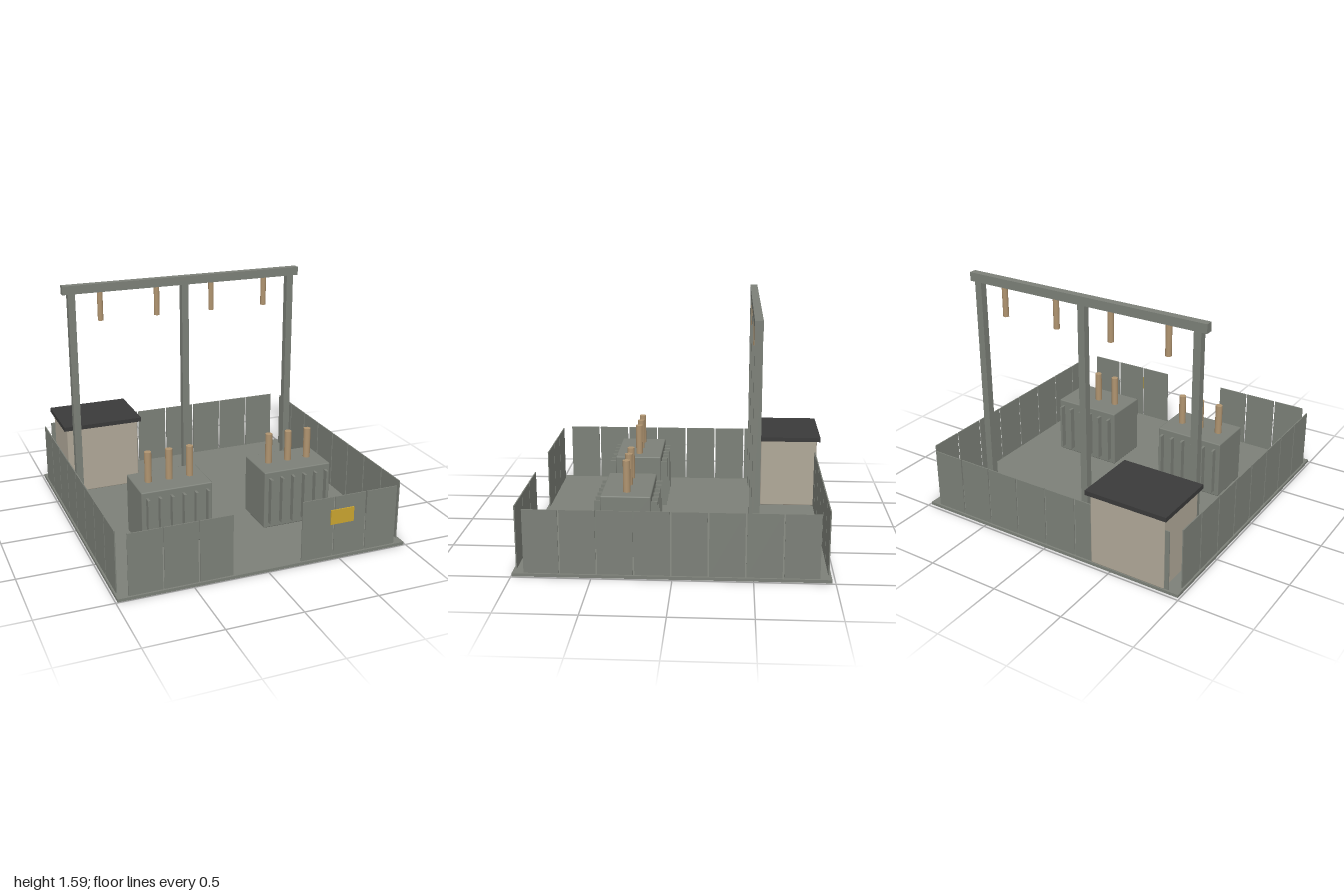
import * as THREE from 'three';
import { RoundedBoxGeometry } from 'three/addons/geometries/RoundedBoxGeometry.js';

const material = (name, color) => {
  const m = new THREE.MeshStandardMaterial({ color });
  m.name = name;
  return m;
};

export function createModel() {
  const steel = material('grey steel', 0x7c8078);
  const wall = material('beige wall', 0xb0a898);
  const dark = material('dark roof', 0x3a3a3a);
  const ceramic = material('brown ceramic', 0xb09470);
  const yellow = material('warning yellow', 0xc9a430);

  const root = new THREE.Group();
  root.name = 'substation';

  const addMesh = (parent, name, geometry, mat, x, y, z) => {
    const mesh = new THREE.Mesh(geometry, mat);
    mesh.name = name;
    mesh.position.set(x, y, z);
    parent.add(mesh);
    return mesh;
  };
  const box = (parent, name, mat, w, h, d, x, y, z) =>
    addMesh(parent, name, new THREE.BoxGeometry(w, h, d), mat, x, y, z);
  const softBox = (parent, name, mat, w, h, d, x, y, z) =>
    addMesh(parent, name, new RoundedBoxGeometry(w, h, d, 1, 0.008), mat, x, y, z);
  const rod = (parent, name, r, h, x, y, z) =>
    addMesh(parent, name, new THREE.CylinderGeometry(r, r, h, 12), ceramic, x, y, z);
  const group = (name, x = 0, z = 0) => {
    const g = new THREE.Group();
    g.name = name;
    g.position.set(x, 0, z);
    root.add(g);
    return g;
  };

  // Ground slab
  const midZ = 0.0085;
  box(root, 'slab', steel, 1.975, 0.02, 1.975, 0, 0.01, midZ);

  // Perimeter fence, with an opening in the front run
  const fence = group('fence', 0, midZ);
  const panelY = 0.228, panelH = 0.415, panelW = 0.22, thick = 0.007, offset = 0.972;
  for (let i = 0; i < 8; i++) {
    const t = (i - 3.5) * 0.23;
    box(fence, 'backPanel', steel, panelW, panelH, thick, t, panelY, -offset);
    if (i < 3 || i > 4) box(fence, 'frontPanel', steel, panelW, panelH, thick, t, panelY, offset);
    for (const side of [-1, 1]) {
      box(fence, 'sidePanel', steel, thick, panelH, panelW, side * offset, panelY, t);
    }
  }

  // Warning plate on the front fence
  box(root, 'warningPlate', yellow, 0.165, 0.1, 0.009, 0.513, 0.3, 0.9945);

  // Two transformers with cooling fins and bushings
  for (const x of [-0.417, 0.45]) {
    const transformer = group('transformer', x, 0.315);
    softBox(transformer, 'tank', steel, 0.49, 0.41, 0.325, 0, 0.226, 0);
    for (let i = 0; i < 6; i++) {
      for (const side of [-1, 1]) {
        box(transformer, 'coolingFin', steel, 0.016, 0.33, 0.045, (i - 2.5) * 0.0825, 0.225, side * 0.182);
      }
    }
    for (const dx of [-0.145, 0, 0.145]) rod(transformer, 'bushing', 0.024, 0.22, dx, 0.532, 0);
  }

  // Portal frame with hanging insulators
  const gantry = group('gantry', 0, -0.507);
  for (const x of [-0.825, 0, 0.825]) {
    box(gantry, 'post', steel, 0.05, 1.51, 0.05, x, 0.775, 0);
  }
  box(gantry, 'beam', steel, 1.775, 0.06, 0.052, 0, 1.56, 0);
  for (const x of [-0.62, -0.207, 0.207, 0.62]) {
    rod(gantry, 'hangingInsulator', 0.02, 0.206, x, 1.428, 0);
  }

  // Control cabin in the back corner
  const cabin = group('controlCabin', -0.62, -0.773);
  softBox(cabin, 'cabinWalls', wall, 0.53, 0.497, 0.406, 0, 0.2685, 0);
  box(cabin, 'cabinRoof', dark, 0.576, 0.03, 0.453, 0, 0.531, 0);

  return root;
}
